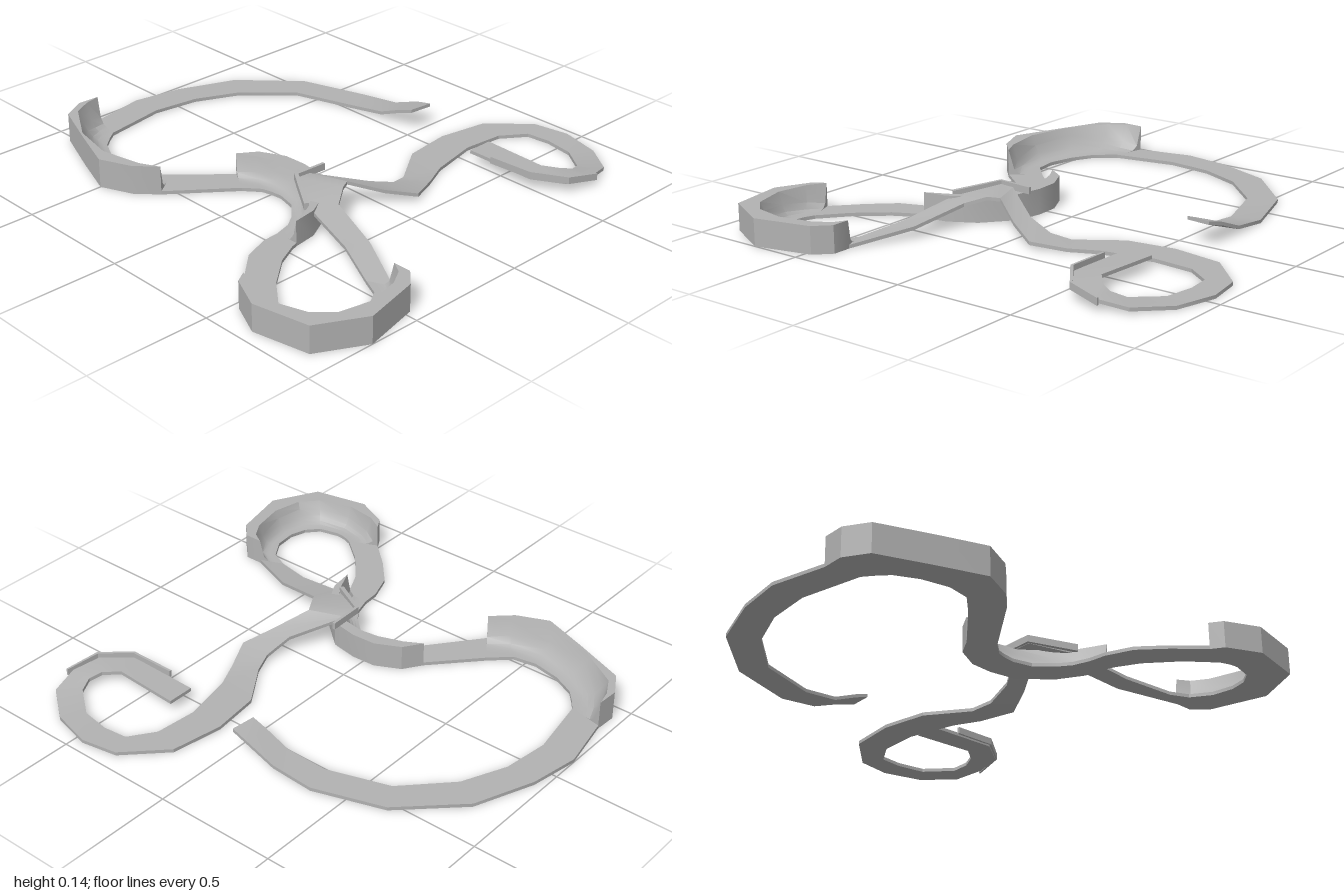
import * as THREE from 'three';
import { toCreasedNormals } from 'three/addons/utils/BufferGeometryUtils.js';

const BASE = 0.015; // top of the flat road

export function createModel() {
  const group = new THREE.Group();
  const grey = new THREE.MeshStandardMaterial({ color: 0xb2b2b2 });
  grey.name = 'road grey';

  // Solid skin over cross-sections; each has matching top and bottom points, left to right.
  function loft(name, sections) {
    const pos = [];
    const quad = (a, b, c, d) => [a, b, c, a, c, d].forEach(p => pos.push(...p));
    for (let i = 0; i < sections.length; i++) {
      const { top, bottom } = sections[i], n = top.length - 1;
      const next = sections[i + 1];
      for (let j = 0; j < n; j++) {
        if (i === 0) quad(top[j], bottom[j], bottom[j + 1], top[j + 1]);
        if (!next) quad(top[j], top[j + 1], bottom[j + 1], bottom[j]);
        else {
          quad(top[j], top[j + 1], next.top[j + 1], next.top[j]);
          quad(bottom[j + 1], bottom[j], next.bottom[j], next.bottom[j + 1]);
        }
      }
      if (!next) continue;
      quad(bottom[0], top[0], next.top[0], next.bottom[0]);
      quad(top[n], bottom[n], next.bottom[n], next.top[n]);
    }
    const geo = new THREE.BufferGeometry();
    geo.setAttribute('position', new THREE.Float32BufferAttribute(pos, 3));
    const mesh = new THREE.Mesh(toCreasedNormals(geo, 0.45), grey);
    mesh.name = name;
    group.add(mesh);
  }

  // Strip from rows of [left x, left z, right x, right z, top height]
  function strip(name, rows, thick = 0.014) {
    loft(name, rows.map(([lx, lz, rx, rz, y = BASE]) => ({
      top: [[lx, y, lz], [rx, y, rz]],
      bottom: [[lx, y - thick, lz], [rx, y - thick, rz]],
    })));
  }

  // Banked curve from rows of [inner x, z, rim x, z, outer x, z]; the dish sharpens to a wall at the ends
  function bank(name, height, rows, outerOnLeft) {
    const steps = 6;
    loft(name, rows.map(([ix, iz, mx, mz, ox, oz], r) => {
      const mid = Math.sin(Math.PI * r / (rows.length - 1));
      const power = 2 + 7 * (1 - mid);
      const top = [];
      for (let k = 0; k <= steps; k++) {
        const t = k / steps;
        top.push([ix + (mx - ix) * t, BASE + (height - BASE) * t ** power, iz + (mz - iz) * t]);
      }
      top.push([ox, height, oz]);
      if (outerOnLeft) top.reverse();
      return { top, bottom: top.map(([x, , z]) => [x, 0.001, z]) };
    }));
  }

  // Take-off ramp and long sweep
  strip('startSweep', [
    [-0.01, -0.53, 0, -0.63, 0.1],
    [-0.07, -0.53, -0.08, -0.637, 0.08],
    [-0.18, -0.53, -0.2, -0.637, 0.035],
    [-0.34, -0.515, -0.37, -0.63],
    [-0.59, -0.435, -0.65, -0.54],
    [-0.76, -0.26, -0.87, -0.33],
    [-0.84, -0.08, -0.965, -0.09],
    [-0.865, 0.11, -1, 0.11],
    [-0.82, 0.37, -0.955, 0.34],
  ]);

  bank('firstBankedCurve', 0.12, [
    [-0.82, 0.37, -0.955, 0.34, -0.955, 0.34],
    [-0.79, 0.41, -0.94, 0.405, -0.96, 0.43],
    [-0.75, 0.455, -0.9, 0.48, -0.905, 0.525],
    [-0.66, 0.5, -0.76, 0.58, -0.69, 0.61],
    [-0.545, 0.525, -0.545, 0.625, -0.5, 0.68],
    [-0.45, 0.51, -0.37, 0.59, -0.37, 0.625],
    [-0.37, 0.435, -0.29, 0.55, -0.29, 0.55],
  ]);

  strip('firstStraight', [
    [-0.37, 0.435, -0.29, 0.55],
    [-0.2, 0.25, -0.1, 0.31],
  ]);

  bank('middleBankedCurve', 0.105, [
    [-0.1, 0.31, -0.2, 0.25, -0.2, 0.25],
    [-0.04, 0.26, -0.13, 0.21, -0.15, 0.175],
    [0, 0.25, -0.03, 0.175, -0.05, 0.125],
    [0.05, 0.245, 0.05, 0.165, 0.05, 0.12],
    [0.13, 0.265, 0.14, 0.18, 0.16, 0.14],
    [0.2, 0.33, 0.25, 0.27, 0.28, 0.24],
    [0.235, 0.38, 0.31, 0.35, 0.34, 0.35],
    [0.255, 0.45, 0.355, 0.45, 0.355, 0.45],
  ], true);

  strip('secondStraight', [
    [0.355, 0.45, 0.255, 0.45],
    [0.365, 0.48, 0.26, 0.52],
    [0.41, 0.57, 0.3, 0.63],
    [0.51, 0.69, 0.39, 0.73],
    [0.62, 0.78, 0.5, 0.83],
  ]);

  bank('lastBankedCurve', 0.11, [
    [0.62, 0.78, 0.5, 0.83, 0.5, 0.83],
    [0.66, 0.795, 0.57, 0.87, 0.53, 0.88],
    [0.7, 0.8, 0.7, 0.89, 0.67, 0.945],
    [0.785, 0.78, 0.84, 0.845, 0.9, 0.9],
    [0.83, 0.73, 0.905, 0.775, 0.95, 0.805],
    [0.85, 0.66, 0.93, 0.65, 1, 0.71],
    [0.84, 0.57, 0.9, 0.51, 0.945, 0.475],
    [0.79, 0.49, 0.86, 0.445, 0.885, 0.415],
    [0.715, 0.455, 0.81, 0.415, 0.81, 0.415],
  ]);

  // Ramp over the middle curve, then the landing hook
  strip('bridgeAndHook', [
    [0.715, 0.455, 0.81, 0.415],
    [0.54, 0.385, 0.58, 0.3, 0.05],
    [0.31, 0.34, 0.36, 0.243, 0.098],
    [0.14, 0.24, 0.31, 0.17, 0.125],
    [0.14, 0.18, 0.285, 0.125, 0.122],
    [0.27, -0.01, 0.36, 0, 0.068],
    [0.29, -0.12, 0.42, -0.12, 0.032],
    [0.265, -0.2, 0.36, -0.25],
    [0.15, -0.37, 0.31, -0.36],
    [0.125, -0.57, 0.265, -0.57],
    [0.16, -0.78, 0.28, -0.74],
    [0.31, -0.93, 0.35, -0.84],
    [0.46, -0.955, 0.45, -0.85],
    [0.63, -0.91, 0.57, -0.83],
    [0.76, -0.81, 0.68, -0.745, 0.025],
    [0.79, -0.69, 0.7, -0.69, 0.04],
    [0.76, -0.57, 0.68, -0.64, 0.052],
    [0.65, -0.495, 0.62, -0.595, 0.058],
    [0.34, -0.5, 0.34, -0.61, 0.055],
  ]);

  // Thin guard rails on the outside edges
  strip('bridgeRail', [
    [0.295, 0.355, 0.305, 0.34, 0.118],
    [0.128, 0.248, 0.14, 0.238, 0.14],
    [0.128, 0.1, 0.14, 0.1, 0.135],
  ], 0.028);
  strip('hookRail', [
    [0.805, -0.71, 0.797, -0.71, 0.05],
    [0.775, -0.575, 0.765, -0.58, 0.07],
    [0.655, -0.487, 0.65, -0.497, 0.08],
    [0.46, -0.482, 0.46, -0.492, 0.075],
  ], 0.028);

  return group;
}
